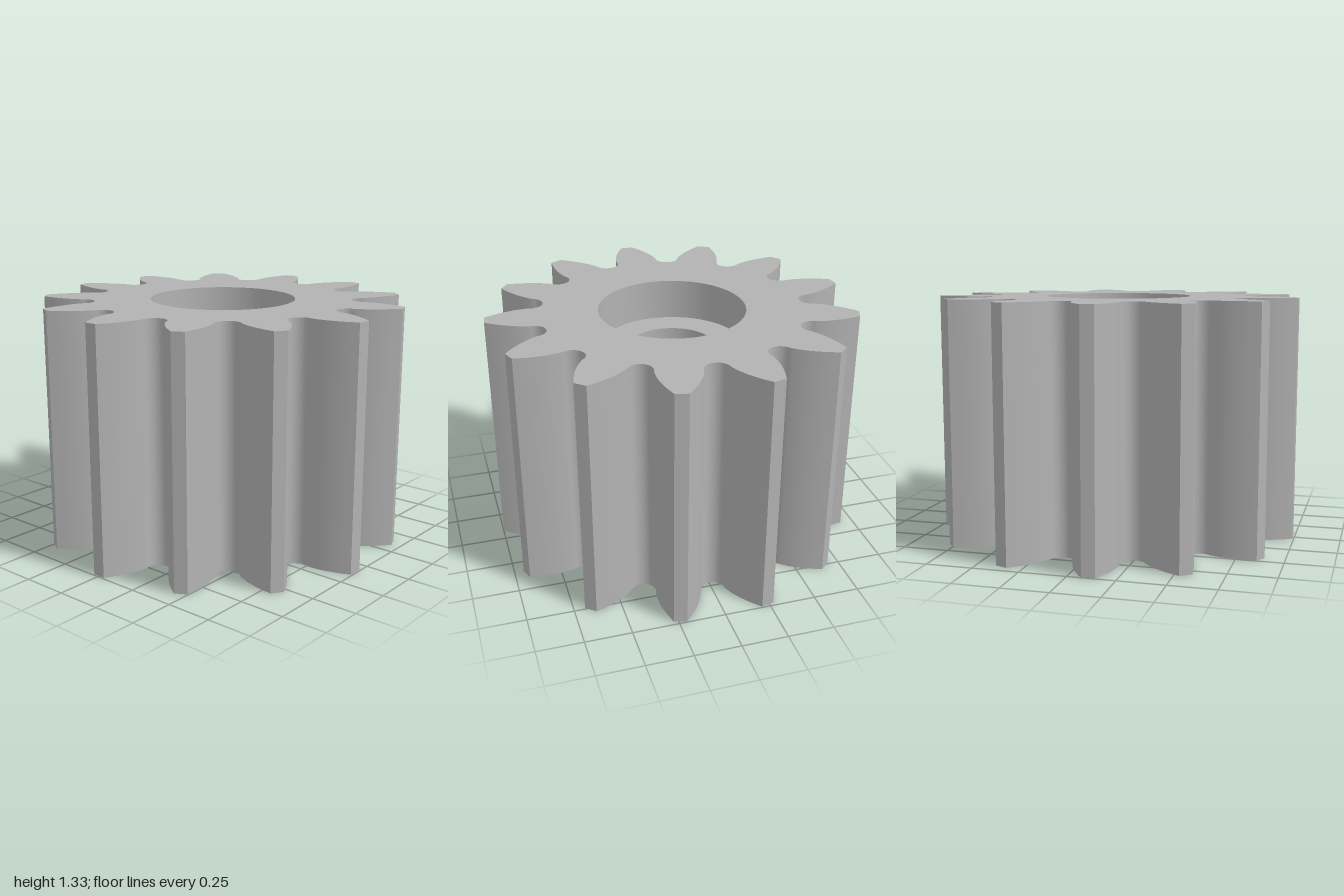
import * as THREE from 'three';
import { toCreasedNormals } from 'three/addons/utils/BufferGeometryUtils.js';

const TEETH = 13, HEIGHT = 1.325, BORE = 0.4, HOLE = 0.24;
const PITCH = (2 * Math.PI) / TEETH;
const CREASE = 0.6;

// Point given as (sideways, outward) and turned about the axis by angle a.
function turned(side, out, a) {
  const r = Math.hypot(side, out), t = a + Math.atan2(side, out);
  return new THREE.Vector2(r * Math.sin(t), -r * Math.cos(t));
}

// Outline: for each tooth one flank, the round gullet, and the next tooth's flank.
function gearShape() {
  const flank = new THREE.SplineCurve([
    [0.035, 1.003], [0.064, 0.95], [0.088, 0.897],
    [0.106, 0.845], [0.116, 0.8], [0.1204, 0.7686],
  ].map(([x, y]) => new THREE.Vector2(x, y))).getPoints(14);
  const points = [];
  for (let i = 0; i < TEETH; i++) {
    const a = i * PITCH;
    flank.forEach(p => points.push(turned(p.x, p.y, a)));
    for (let k = 1; k < 16; k++) {
      const t = (k / 16) * Math.PI;
      points.push(turned(-0.067 * Math.cos(t), 0.775 - 0.067 * Math.sin(t), a + PITCH / 2));
    }
    [...flank].reverse().forEach(p => points.push(turned(-p.x, p.y, a + PITCH)));
  }
  const shape = new THREE.Shape(points);
  shape.holes.push(new THREE.Path().absarc(0, 0, BORE, 0, Math.PI * 2, true));
  return shape;
}

export function createModel() {
  const steel = new THREE.MeshStandardMaterial({ color: 0xb2b2b2 });
  steel.name = 'greySteel';
  const group = new THREE.Group();
  group.name = 'pinionGear';

  // Toothed body with a wide bore
  const body = new THREE.ExtrudeGeometry(gearShape(), {
    depth: HEIGHT, bevelEnabled: false, curveSegments: 64,
  });
  body.rotateX(-Math.PI / 2);
  const gear = new THREE.Mesh(toCreasedNormals(body, CREASE), steel);
  gear.name = 'toothedBody';

  // Inner web that narrows the bore to the shaft hole
  const top = HEIGHT - 0.225, bottom = top - 0.22;
  const profile = [[BORE, top], [HOLE, top], [HOLE, bottom], [BORE, bottom]]
    .map(([x, y]) => new THREE.Vector2(x, y));
  const web = new THREE.Mesh(
    toCreasedNormals(new THREE.LatheGeometry(profile, 64), CREASE), steel);
  web.name = 'shaftWeb';

  group.add(gear, web);
  group.children.forEach(m => { m.position.z = -0.012; });
  return group;
}
